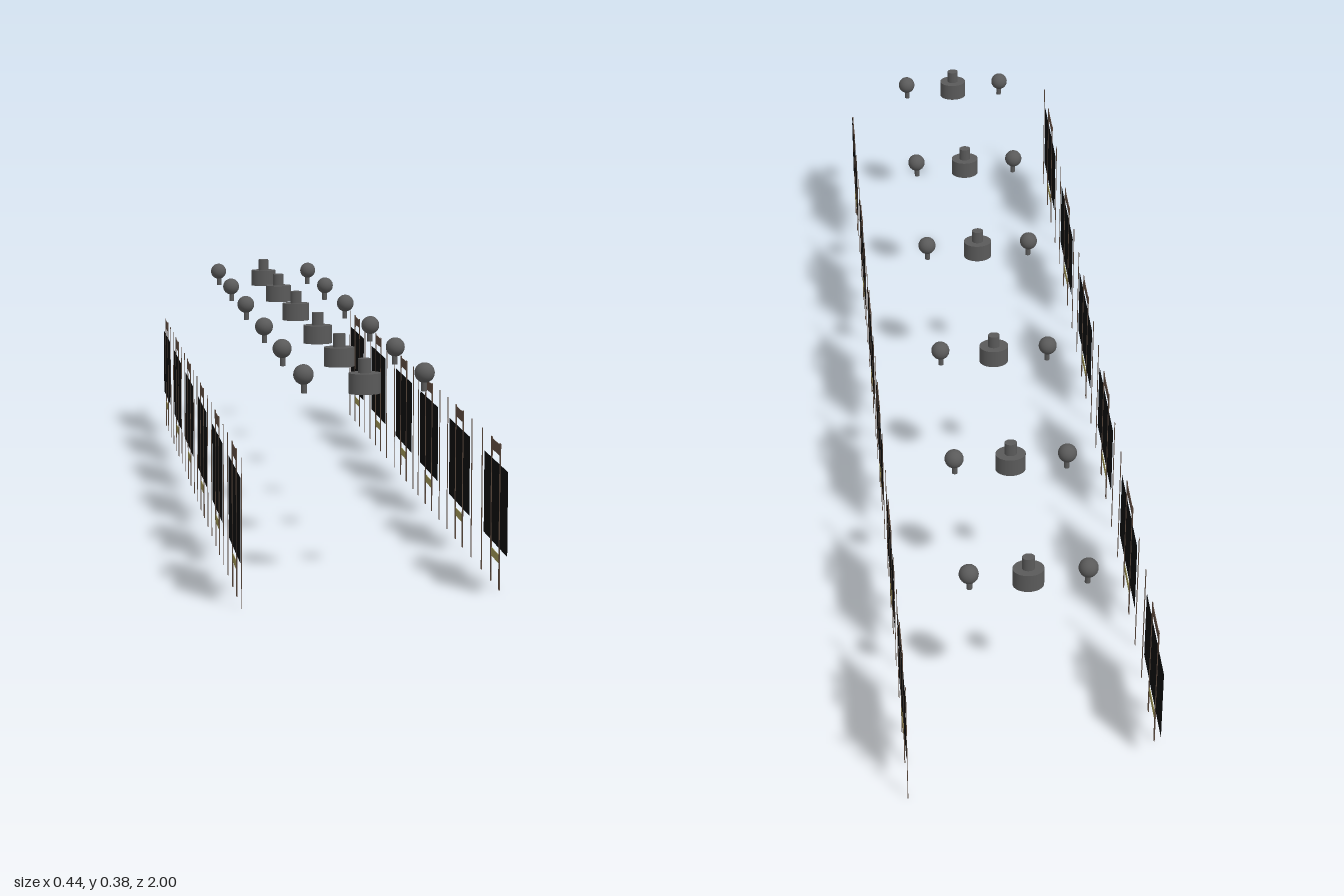
import * as THREE from 'three';

const paint = (color) => new THREE.MeshStandardMaterial({ color });
const GREY = paint(0x5a5a5a);
const BLACK = paint(0x0c0c0c);
const BROWN = paint(0x5e4c40);
const YELLOW = paint(0x9c9254);

function add(parent, name, geometry, material, x, y, z) {
  const mesh = new THREE.Mesh(geometry, material);
  mesh.name = name;
  mesh.position.set(x, y, z);
  parent.add(mesh);
  return mesh;
}

// Very thin upright slab lying in the y-z plane
const slab = (height, width, thickness) => new THREE.BoxGeometry(thickness, height, width);

// Framed panel: sides lists which outer poles are present (+1 front, -1 back)
function makePanel(x, z, sides) {
  const g = new THREE.Group();
  g.name = 'framedPanel';
  g.position.set(x, 0, z);
  add(g, 'panel', slab(0.14, 0.214, 0.0004), BLACK, 0, 0.14, 0);
  for (const s of [1, -1]) add(g, 'framePost', slab(0.246, 0.008, 0.0014), BROWN, 0, 0.123, s * 0.038);
  add(g, 'topRail', slab(0.018, 0.084, 0.001), BROWN, 0, 0.234, 0);
  add(g, 'bottomRail', slab(0.014, 0.068, 0.001), YELLOW, 0, 0.051, 0);
  for (const s of sides) add(g, 'outerPole', slab(0.246, 0.005, 0.001), BROWN, 0, 0.123, s * 0.128);
  return g;
}

// Central stepped drum with a ball on a stem at each side
function makeLampSet(z) {
  const g = new THREE.Group();
  g.name = 'lampSet';
  g.position.z = z;
  const drum = add(g, 'drum', new THREE.CylinderGeometry(0.027, 0.027, 0.034, 32), GREY, 0, 0.342, 0);
  const neck = add(g, 'neck', new THREE.CylinderGeometry(0.011, 0.011, 0.024, 24), GREY, 0, 0.371, 0);
  drum.scale.z = neck.scale.z = 0.82;
  for (const s of [1, -1]) {
    add(g, 'ball', new THREE.SphereGeometry(0.017, 24, 16), GREY, s * 0.101, 0.357, -0.005);
    add(g, 'ballStem', new THREE.CylinderGeometry(0.005, 0.005, 0.022, 12), GREY, s * 0.1, 0.337, -0.005);
  }
  return g;
}

export function createModel() {
  const model = new THREE.Group();
  model.name = 'panelRows';

  // Two facing rows of panels; one end of each row lacks its outermost pole
  const leftRow = [0.869, 0.511, 0.165, -0.158, -0.527, -0.87];
  const rightRow = [0.869, 0.527, 0.182, -0.158, -0.508, -0.853];
  leftRow.forEach((z, i) => model.add(makePanel(0.218, z, i === 0 ? [-1] : [1, -1])));
  rightRow.forEach((z, i) => model.add(makePanel(-0.218, z, i === 5 ? [1] : [1, -1])));

  // Lamp sets along the middle
  for (const z of [0.85, 0.517, 0.193, -0.177, -0.517, -0.841]) model.add(makeLampSet(z));
  return model;
}
